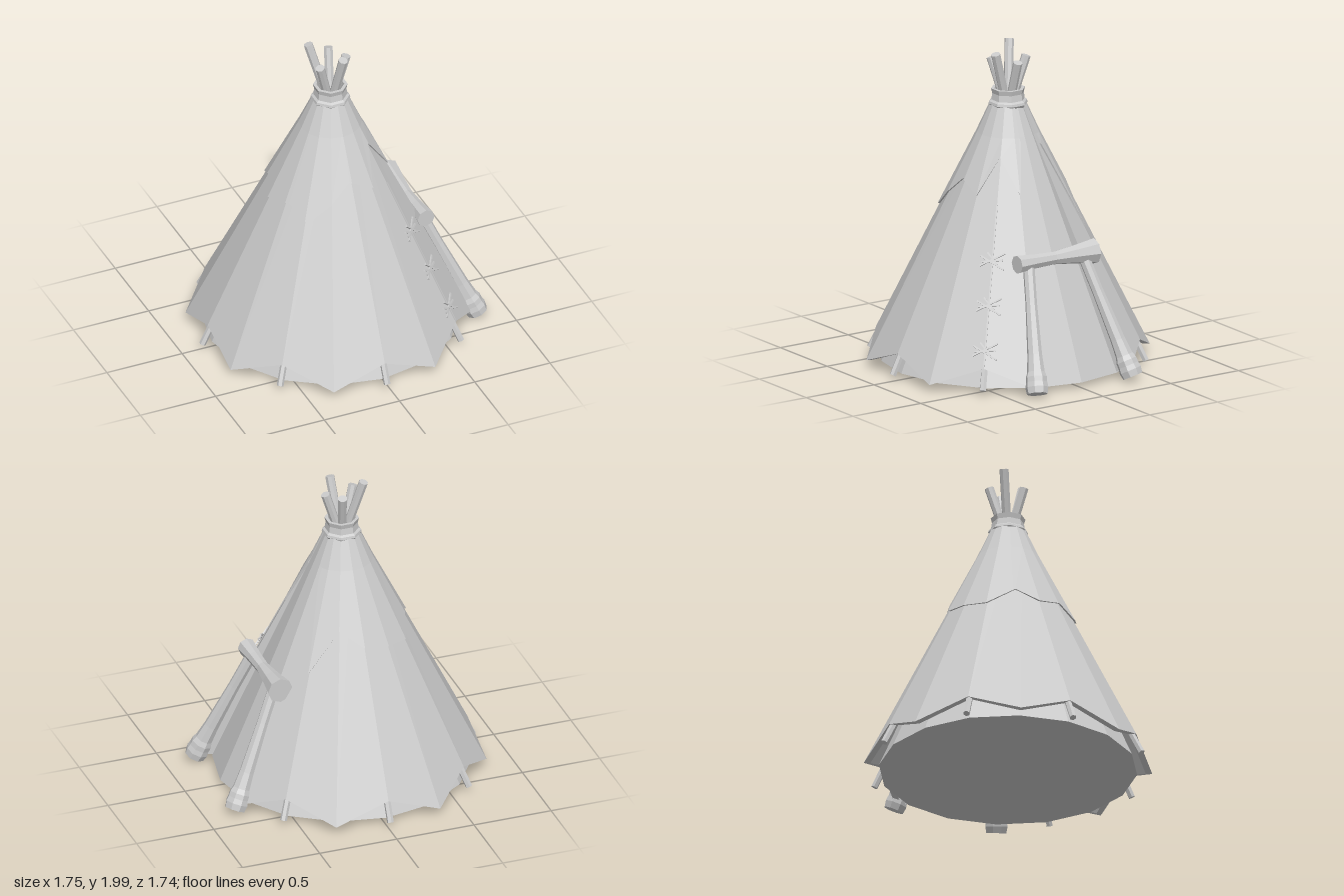
import * as THREE from 'three';

const CX = -0.015;                       // tent axis
const STEP = Math.PI / 8;                // sixteen-sided tent

const canvasGrey = new THREE.MeshStandardMaterial({ color: 0xcccccc, flatShading: true, side: THREE.DoubleSide });
canvasGrey.name = 'plain grey';

const polar = (angle, r, y) => new THREE.Vector3(CX + r * Math.cos(angle), y, r * Math.sin(angle));

function add(parent, name, geometry) {
  const mesh = new THREE.Mesh(geometry, canvasGrey);
  mesh.name = name;
  parent.add(mesh);
  return mesh;
}

// Skin over columns of points that run from the bottom up
function skin(columns) {
  const rows = columns[0].length, positions = [], index = [];
  columns.forEach((col, i) => col.forEach((p, j) => {
    positions.push(p.x, p.y, p.z);
    if (i < columns.length - 1 && j < rows - 1) {
      const a = i * rows + j, b = a + rows;
      index.push(a, a + 1, b, b, a + 1, b + 1);
    }
  }));
  const g = new THREE.BufferGeometry();
  g.setAttribute('position', new THREE.Float32BufferAttribute(positions, 3));
  g.setIndex(index);
  g.computeVertexNormals();
  return g;
}

// Turned log along a line; profile holds [radius, fraction of length]
function log(parent, name, from, to, profile, sides = 8) {
  const axis = to.clone().sub(from), length = axis.length();
  const pts = [[0, 0], ...profile, [0, 1]].map(([r, t]) => new THREE.Vector2(r, t * length));
  const mesh = add(parent, name, new THREE.LatheGeometry(pts, sides));
  mesh.position.copy(from);
  mesh.quaternion.setFromUnitVectors(new THREE.Vector3(0, 1, 0), axis.normalize());
  return mesh;
}

// Radius of the outer cover at a height
const coverRadius = (y) => y > 1.45
  ? THREE.MathUtils.mapLinear(y, 1.45, 1.63, 0.185, 0.105)
  : THREE.MathUtils.mapLinear(y, 0.17, 1.45, 0.815, 0.185);

function buildTent(group) {
  // Closed inner cone, seen at the open side and under the hem
  const inner = [[0, 0.04], [0.787, 0.04], [0.178, 1.45], [0.1, 1.63], [0, 1.63]];
  const innerColumns = [];
  for (let k = 0; k <= 16; k++) innerColumns.push(inner.map(([r, y]) => polar(k * STEP, r, y)));
  add(group, 'innerTent', skin(innerColumns));

  // Outer cover with a zigzag hem, open between the ramp legs
  const cover = [];
  const edge = (k) => [[0.76, 0.05], [0.77, 0.06], [0.178, 1.45], [0.1, 1.63]].map(([r, y]) => polar(k * STEP, r, y));
  cover.push(edge(1));
  for (let k = 1; k <= 15; k++) {
    const [r, y] = k % 2 ? [0.88, 0.05] : [0.815, 0.17];
    cover.push([[r - 0.04, y], [r, y], [0.185, 1.45], [0.105, 1.63]].map(([q, h]) => polar(k * STEP, q, h)));
  }
  cover.push(edge(15));
  add(group, 'outerCover', skin(cover));
}

// Jagged upper cape, open on one side
function buildCape(group) {
  const outline = [[0.16, 0.04], [0.3, 0.13], [0.15, 0.17], [0.12, 0.32], [-0.03, 0.31], [-0.3, 0.31],
    [-0.36, 0.17], [-0.42, 0], [-0.36, -0.13], [-0.31, -0.3], [-0.02, -0.4], [0.12, -0.32], [0.32, -0.33], [0.17, -0.11]];
  const hem = outline.map(([x, z]) => {
    const angle = (Math.atan2(z, x - CX) + 2 * Math.PI) % (2 * Math.PI);
    const r = Math.hypot(x - CX, z);
    return { angle, y: Math.min(1.42, (0.899 - r) / 0.492) };
  });
  // The first tip leans out past the slit, so keep the angles rising
  hem.sort((a, b) => a.angle - b.angle);
  const stops = [];
  hem.forEach((p, i) => {
    stops.push(p);
    const q = hem[i + 1];
    if (!q) return;
    for (let k = 1; k < 16; k++) {
      const t = (k * STEP - p.angle) / (q.angle - p.angle);
      if (t > 0.02 && t < 0.98) stops.push({ angle: k * STEP, y: p.y + t * (q.y - p.y) });
    }
  });
  stops.sort((a, b) => a.angle - b.angle);
  // Follow the flat sides of the tent
  const flat = (angle) => {
    const d = ((angle % STEP) + STEP) % STEP - STEP / 2;
    return Math.cos(STEP / 2) / Math.cos(d);
  };
  const columns = stops.map(({ angle, y }) => {
    const at = (h, lift) => polar(angle, coverRadius(h) * flat(angle) + lift, h);
    return [at(y, 0), at(y, 0.012), at(1.45, 0.008), at(1.63, 0.006)];
  });
  add(group, 'upperCape', skin(columns));
}

function buildPoles(group) {
  // Pole feet under each notch of the hem, none at the open side
  for (let k = 1; k < 8; k++) {
    log(group, 'poleFoot', polar(k * STEP * 2, 0.85, 0.04), polar(k * STEP * 2, 0.66, 0.42), [[0.021, 0], [0.021, 1]], 6);
  }
  // Crossing pole ends above the collar
  const tips = [[-0.125, 1.99, -0.085], [0.02, 1.955, 0.115], [0.09, 1.9, 0], [0.02, 1.915, -0.11], [-0.11, 1.9, 0.06]];
  for (const [x, y, z] of tips) {
    const base = new THREE.Vector3(CX + (x - CX) * 0.1, 1.6, z * 0.1);
    log(group, 'poleTop', base, new THREE.Vector3(x, y, z), [[0.027, 0], [0.029, 1]]);
  }
  // Collar tied around the top
  const collar = [[0.105, 1.6], [0.122, 1.625], [0.118, 1.64], [0.104, 1.65], [0.098, 1.69], [0.106, 1.72], [0.085, 1.72], [0.08, 1.64], [0, 1.64]];
  const mesh = add(group, 'collar', new THREE.LatheGeometry(collar.map(([r, y]) => new THREE.Vector2(r, y)), 8));
  mesh.position.x = CX;
  mesh.rotation.y = STEP;
}

// Laced seam on the diagonal beside the open side
function buildSeam(group) {
  const angle = 2 * STEP;
  log(group, 'seam', polar(angle, coverRadius(0.18) + 0.001, 0.18), polar(angle, coverRadius(1.08) + 0.001, 1.08),
    [[0.006, 0], [0.006, 1]], 4);
  const slope = Math.atan(0.492);
  for (const y of [0.77, 0.52, 0.27]) {
    const lace = new THREE.Group();
    lace.name = 'lacing';
    lace.position.copy(polar(angle, coverRadius(y) + 0.01, y));
    lace.rotation.set(-slope, Math.PI / 2 - angle, 0, 'YXZ');
    for (const [turn, length, shift] of [[0.5, 0.17, 0.01], [-0.5, 0.17, -0.01], [0.12, 0.13, 0], [-0.85, 0.1, 0.015]]) {
      const cord = add(lace, 'cord', new THREE.BoxGeometry(length, 0.01, 0.01));
      cord.rotation.z = turn;
      cord.position.y = shift;
    }
    group.add(lace);
  }
}

// Log frame leaning on the open side
function buildFrame(group) {
  const legProfile = [[0.064, 0], [0.071, 0.05], [0.066, 0.09], [0.066, 0.13], [0.055, 0.17], [0.046, 0.3], [0.036, 0.7], [0.036, 1]];
  for (const side of [1, -1]) {
    log(group, 'frameLeg', new THREE.Vector3(0.808, 0.033, side * 0.352), new THREE.Vector3(0.495, 0.75, side * 0.2), legProfile);
  }
  log(group, 'crossLog', new THREE.Vector3(0.488, 0.76, -0.285), new THREE.Vector3(0.495, 0.765, 0.285),
    [[0.08, 0], [0.058, 0.25], [0.04, 0.52], [0.045, 0.75], [0.057, 1]]);
}

export function createModel() {
  const group = new THREE.Group();
  group.name = 'tent';
  buildTent(group);
  buildCape(group);
  buildPoles(group);
  buildSeam(group);
  buildFrame(group);
  return group;
}
